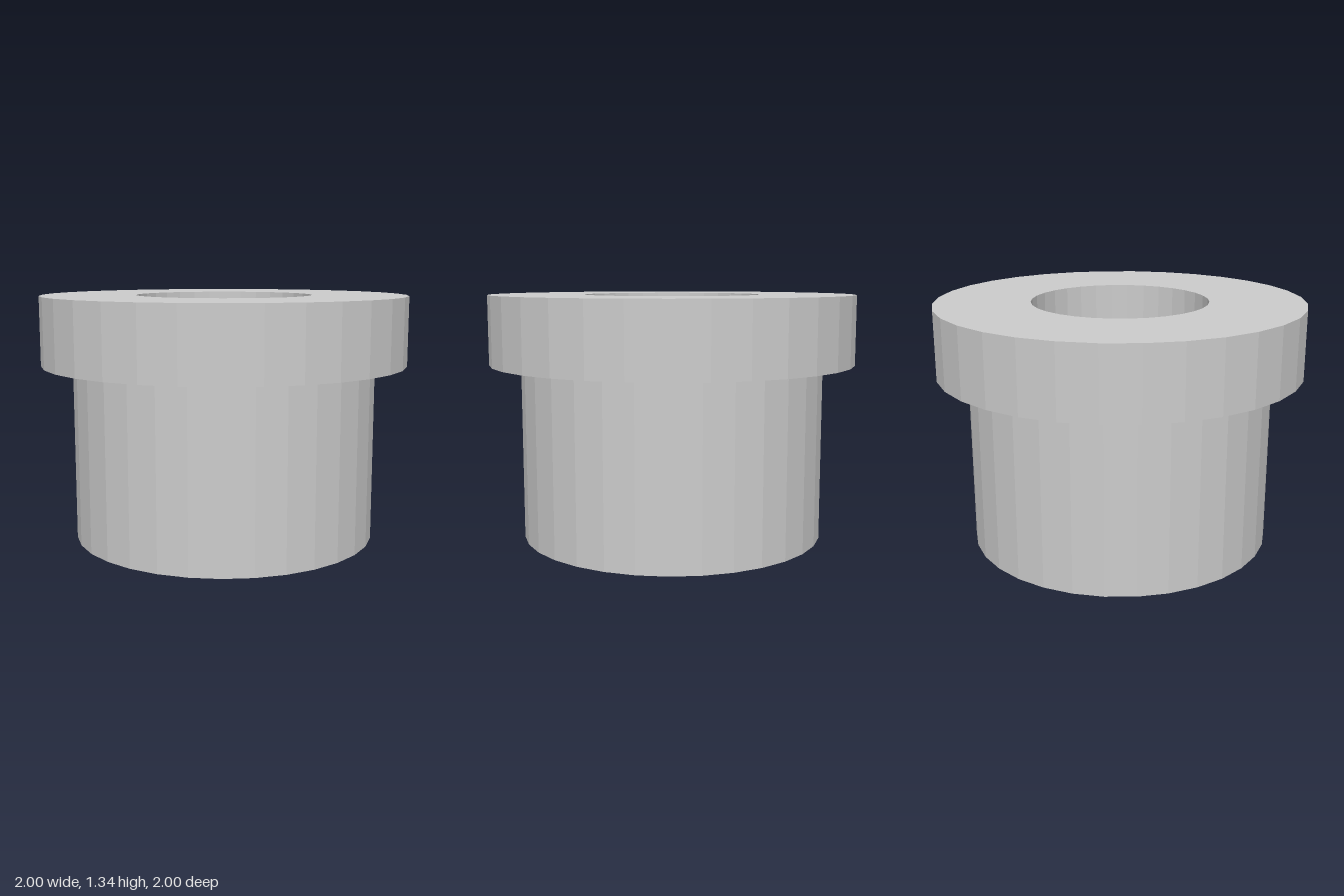
import * as THREE from 'three';

const SEGMENTS = 32;
const BORE_RADIUS = 0.48;
const SLEEVE_RADIUS = 0.83;
const FLANGE_RADIUS = 1;
const FLANGE_BOTTOM = 0.96;
const HEIGHT = 1.335;

export function createModel() {
  const group = new THREE.Group();
  group.name = 'flangedBushing';

  // Closed wall section: sleeve below, wider flange on top, straight bore inside
  const profile = [
    [BORE_RADIUS, 0],
    [SLEEVE_RADIUS, 0],
    [SLEEVE_RADIUS, FLANGE_BOTTOM],
    [FLANGE_RADIUS, FLANGE_BOTTOM],
    [FLANGE_RADIUS, HEIGHT],
    [BORE_RADIUS, HEIGHT],
    [BORE_RADIUS, 0],
  ].map(([r, y]) => new THREE.Vector2(r, y));

  const bushing = new THREE.Mesh(
    new THREE.LatheGeometry(profile, SEGMENTS),
    new THREE.MeshStandardMaterial({ color: 0xcccccc, flatShading: true })
  );
  bushing.name = 'sleeveWithFlange';
  group.add(bushing);

  return group;
}
